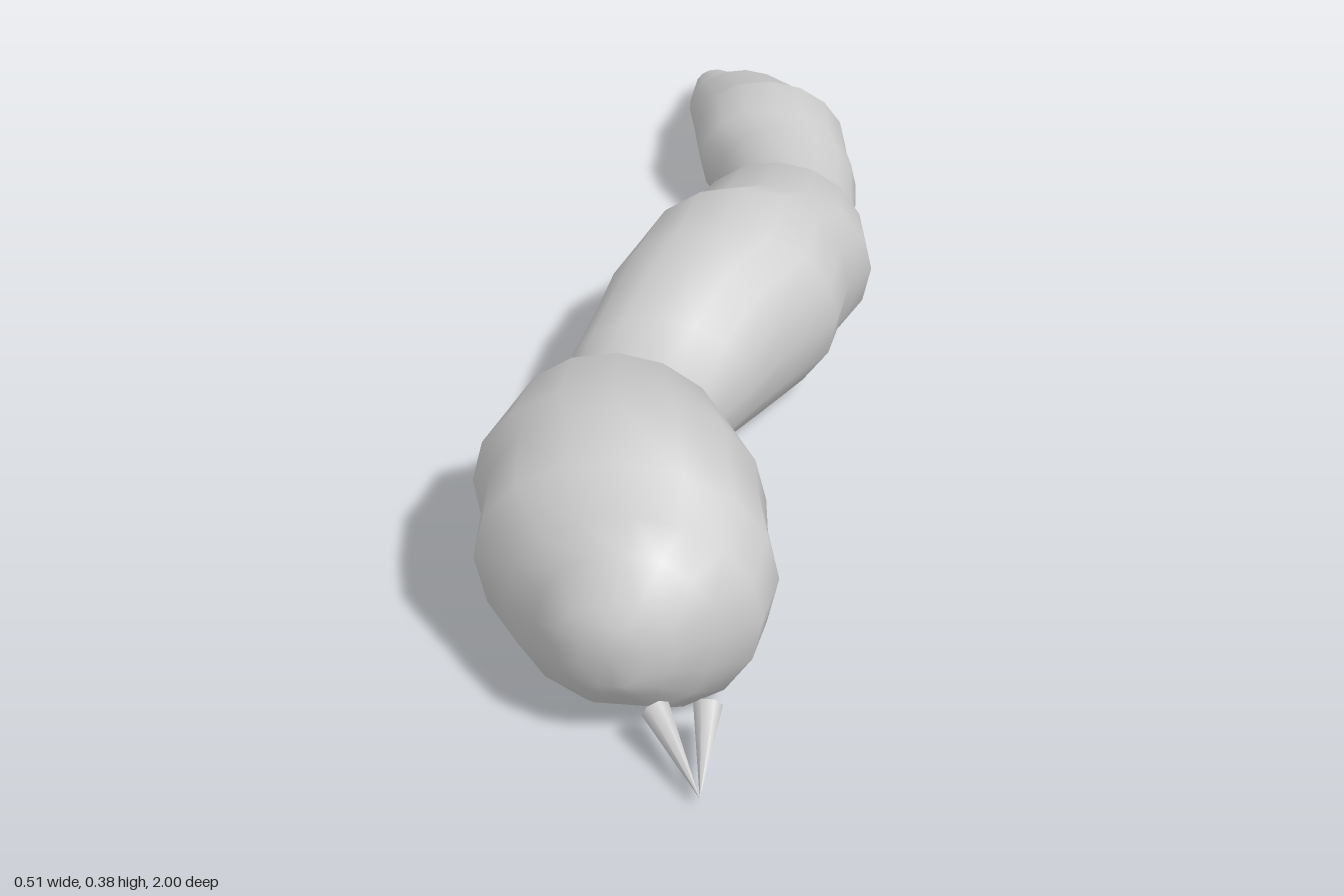
import * as THREE from 'three';

// Body stations from tail to head: z, min x, max x, top y
const STATIONS = [
  [-0.985, -0.11, -0.065, 0.055],
  [-0.95, -0.122, -0.04, 0.078],
  [-0.85, -0.12, 0.02, 0.115],
  [-0.76, -0.11, 0.09, 0.175],
  [-0.66, -0.09, 0.16, 0.205],
  [-0.6, -0.08, 0.18, 0.235],
  [-0.54, -0.065, 0.192, 0.212],
  [-0.48, -0.025, 0.207, 0.213],
  [-0.39, 0.005, 0.213, 0.19],
  [-0.28, 0, 0.235, 0.22],
  [-0.22, -0.045, 0.24, 0.285],
  [-0.14, -0.08, 0.255, 0.287],
  [-0.04, -0.11, 0.225, 0.335],
  [0.03, -0.145, 0.215, 0.302],
  [0.13, -0.155, 0.15, 0.293],
  [0.2, -0.18, 0.1, 0.24],
  [0.31, -0.19, 0.04, 0.215],
  [0.4, -0.22, 0.06, 0.262],
  [0.46, -0.23, 0.105, 0.34],
  [0.55, -0.255, 0.155, 0.342],
  [0.66, -0.222, 0.168, 0.385],
  [0.73, -0.22, 0.19, 0.345],
  [0.8, -0.165, 0.175, 0.31],
  [0.86, -0.115, 0.125, 0.295],
  [0.895, -0.085, 0.075, 0.24],
  [0.912, -0.05, 0.035, 0.215],
];
const SIDES = 16;

// The belly lies flat and curves up under the snout and the tail tip
function bellyHeight(z) {
  return 0.005 + 3.1 * Math.max(0, z - 0.8) ** 1.5 + 0.4 * Math.max(0, -0.95 - z);
}

// Lofted smooth body: ellipses with a flattened belly
function bodyGeometry() {
  const pos = [], index = [];
  for (const [z, x0, x1, top] of STATIONS) {
    const belly = bellyHeight(z);
    const cx = (x0 + x1) / 2, cy = (belly + top) / 2;
    const rx = (x1 - x0) / 2, ry = (top - belly) / 2;
    for (let j = 0; j < SIDES; j++) {
      const a = (j / SIDES) * Math.PI * 2, s = Math.sin(a);
      const y = s < 0 ? Math.max(belly, cy + ry * 1.1 * s) : cy + ry * s;
      pos.push(cx + rx * Math.cos(a), y, z);
    }
  }
  const n = STATIONS.length;
  for (let i = 0; i < n - 1; i++) {
    for (let j = 0; j < SIDES; j++) {
      const a = i * SIDES + j, b = i * SIDES + (j + 1) % SIDES;
      index.push(a, b, a + SIDES, b, b + SIDES, a + SIDES);
    }
  }
  // Tail tip and snout centre close the ends
  const tail = n * SIDES, nose = tail + 1, last = (n - 1) * SIDES;
  pos.push(-0.085, 0.04, -1, -0.01, 0.175, 0.916);
  for (let j = 0; j < SIDES; j++) {
    const k = (j + 1) % SIDES;
    index.push(tail, k, j, nose, last + j, last + k);
  }
  const g = new THREE.BufferGeometry();
  g.setAttribute('position', new THREE.Float32BufferAttribute(pos, 3));
  g.setIndex(index);
  g.computeVertexNormals();
  return g;
}

export function createModel() {
  const group = new THREE.Group();
  const material = new THREE.MeshStandardMaterial({ color: 0xcccccc });

  const body = new THREE.Mesh(bodyGeometry(), material);
  body.name = 'body';
  group.add(body);

  // Two small fangs meeting at one point below the snout
  const tip = new THREE.Vector3(0.116, 0.023, 1);
  const bases = { rightFang: [0.045, 0.066, 0.885], leftFang: [0.113, 0.076, 0.88] };
  for (const [name, p] of Object.entries(bases)) {
    const base = new THREE.Vector3(...p);
    const dir = tip.clone().sub(base);
    const fang = new THREE.Mesh(new THREE.ConeGeometry(0.02, dir.length(), 7), material);
    fang.position.copy(base).add(tip).multiplyScalar(0.5);
    fang.quaternion.setFromUnitVectors(new THREE.Vector3(0, 1, 0), dir.normalize());
    fang.name = name;
    group.add(fang);
  }
  return group;
}
